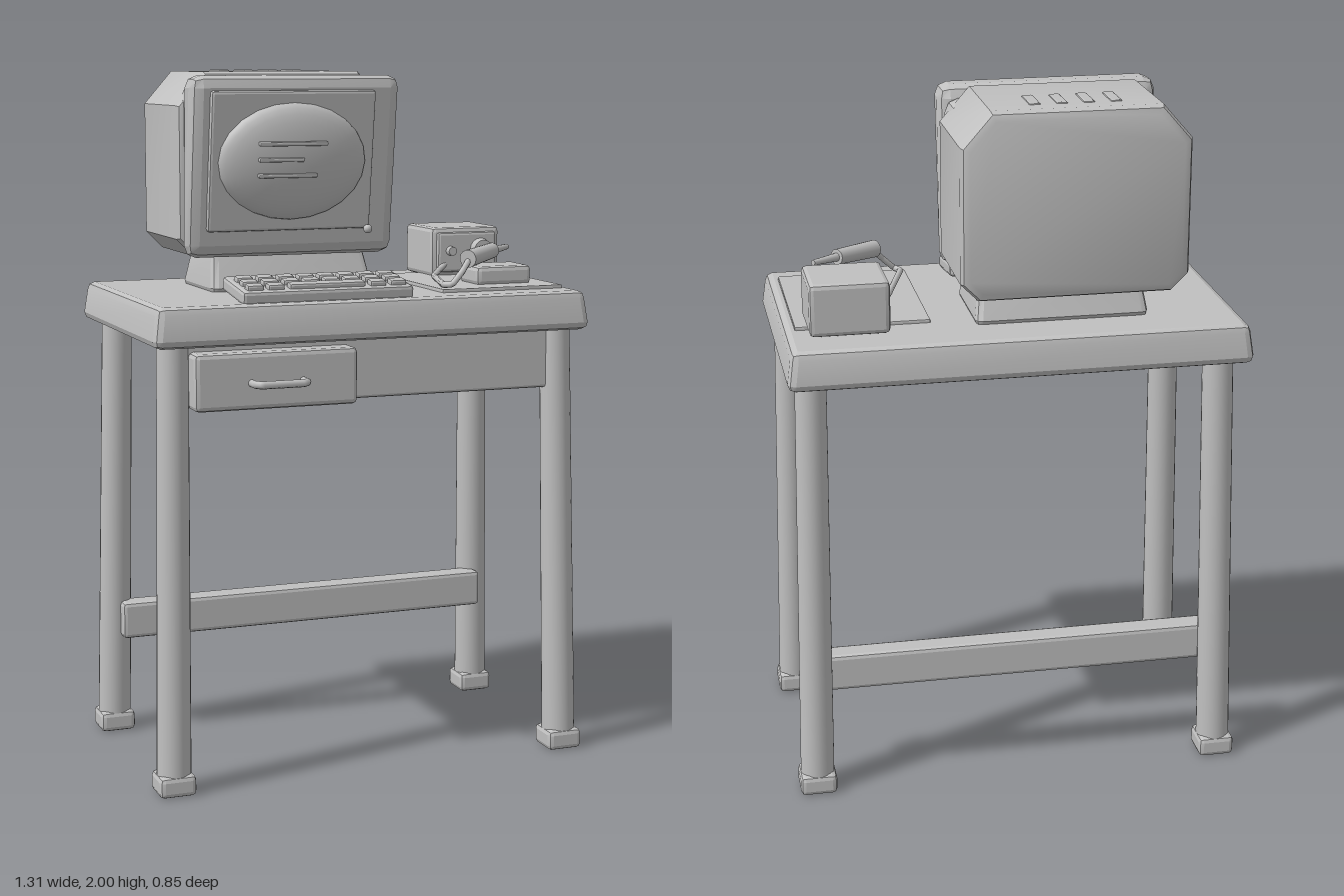
import * as THREE from 'three';
import { toCreasedNormals } from 'three/addons/utils/BufferGeometryUtils.js';
import { RoundedBoxGeometry } from 'three/addons/geometries/RoundedBoxGeometry.js';

const grey = new THREE.MeshStandardMaterial({ color: 0xc0c0c0 });
grey.name = 'plain grey';

function add(parent, name, geometry) {
  const mesh = new THREE.Mesh(geometry, grey);
  mesh.name = name;
  parent.add(mesh);
  return mesh;
}

// Chamfered box given by its limits; an optional rule moves its vertices.
function block(parent, name, [x0, x1], [y0, y1], [z0, z1], r = 0.01, rule) {
  const geo = new RoundedBoxGeometry(x1 - x0, y1 - y0, z1 - z0, 1, r);
  if (rule) {
    const p = geo.attributes.position;
    const v = new THREE.Vector3();
    for (let i = 0; i < p.count; i++) {
      rule(v.fromBufferAttribute(p, i));
      p.setXYZ(i, v.x, v.y, v.z);
    }
  }
  const mesh = add(parent, name, toCreasedNormals(geo, 0.35));
  mesh.position.set((x0 + x1) / 2, (y0 + y1) / 2, (z0 + z1) / 2);
  return mesh;
}

// Tapered round bar between two points.
function bar(parent, name, a, b, ra, rb, sides = 16) {
  const from = new THREE.Vector3(...a);
  const dir = new THREE.Vector3(...b).sub(from);
  const mesh = add(parent, name, new THREE.CylinderGeometry(rb, ra, dir.length(), sides));
  mesh.position.copy(from).addScaledVector(dir, 0.5);
  mesh.quaternion.setFromUnitVectors(new THREE.Vector3(0, 1, 0), dir.normalize());
  return mesh;
}

// Tube through straight runs of points.
function tube(parent, name, points, r, steps) {
  const path = new THREE.CurvePath();
  const pts = points.map((p) => new THREE.Vector3(...p));
  for (let i = 1; i < pts.length; i++) path.add(new THREE.LineCurve3(pts[i - 1], pts[i]));
  return add(parent, name, new THREE.TubeGeometry(path, steps, r, 8));
}

function buildDesk(desk) {
  block(desk, 'tabletop', [-0.655, 0.652], [1.262, 1.375], [-0.425, 0.367], 0.022, (v) => {
    if (v.y > 0) { v.x *= 0.985; v.z *= 0.98; }
  });
  // Splayed legs with square feet
  for (const sx of [-1, 1]) for (const sz of [-1, 1]) {
    const x = 0.6 * sx, z = -0.015 + 0.322 * sz;
    bar(desk, 'leg', [x, 0.04, z], [0.58 * sx, 1.28, -0.015 + 0.292 * sz], 0.049, 0.044, 24);
    block(desk, 'foot', [x - 0.053, x + 0.053], [0, 0.06], [z - 0.053, z + 0.053], 0.014);
  }
  block(desk, 'frontApron', [-0.59, 0.59], [1.09, 1.28], [0.25, 0.3], 0.008);
  block(desk, 'backRail', [-0.59, 0.59], [0.3, 0.41], [-0.32, -0.245], 0.012);
  block(desk, 'drawer', [-0.542, -0.067], [1.085, 1.245], [0.28, 0.362], 0.014);
  tube(desk, 'drawerHandle', [[-0.38, 1.16, 0.35], [-0.38, 1.16, 0.395], [-0.365, 1.16, 0.41],
    [-0.245, 1.16, 0.41], [-0.23, 1.16, 0.395], [-0.23, 1.16, 0.35]], 0.011, 40);
}

function buildMonitor(monitor) {
  const cx = -0.15;
  // Casing: outline with cut upper corners, bevelled front and back
  const b = 0.025, w = 0.32 - b, y0 = 1.475 + b, y1 = 2 - b;
  const outline = new THREE.Shape([
    [-w + 0.035, y0], [w - 0.035, y0], [w, y0 + 0.035], [w, y1 - 0.08],
    [w - 0.07, y1], [-w + 0.07, y1], [-w, y1 - 0.08], [-w, y0 + 0.035],
  ].map(([x, y]) => new THREE.Vector2(x, y)));
  const casing = new THREE.ExtrudeGeometry(outline, {
    depth: 0.365 - 2 * b, bevelThickness: b, bevelSize: b, bevelSegments: 2,
  });
  add(monitor, 'casing', toCreasedNormals(casing, 0.4)).position.set(cx, 0, -0.385 + b);
  block(monitor, 'neck', [-0.45, 0.15], [1.51, 1.96], [-0.1, 0.03], 0.04);

  // Bezel leaning forward at the top
  block(monitor, 'bezel', [-0.465, 0.165], [1.475, 1.99], [-0.01, 0.08], 0.035, (v) => {
    v.z += v.y * (v.z > 0 ? 0.13 : 0.05);
  });
  const face = new THREE.Group();
  face.name = 'screenFace';
  face.position.set(cx, 1.75, 0.085);
  face.rotation.x = 0.135;
  monitor.add(face);
  block(face, 'screenFrame', [-0.262, 0.23], [-0.2, 0.2], [-0.01, 0.014], 0.008);

  // Bulging screen and its bars
  const dome = new THREE.SphereGeometry(1, 24, 8, 0, Math.PI * 2, 0, Math.PI / 2);
  dome.rotateX(Math.PI / 2);
  dome.scale(0.222, 0.168, 0.058);
  add(face, 'screen', dome).position.set(-0.017, 0, 0.012);
  for (const [x0, x1, y] of [[-0.135, 0.068, 0.06], [-0.135, 0, 0.015], [-0.135, 0.04, -0.03]]) {
    block(face, 'screenBar', [x0, x1], [y - 0.006, y + 0.006], [0.055, 0.075], 0.004);
  }
  add(face, 'knob', new THREE.SphereGeometry(0.013, 12, 8)).position.set(0.222, -0.2, 0.02);

  for (let i = 0; i < 4; i++) {
    const x = -0.27 + i * 0.075;
    block(monitor, 'topVent', [x - 0.016, x + 0.016], [1.985, 2.004], [-0.31, -0.2], 0.005);
  }
  // Stand narrowing upward
  block(monitor, 'stand', [-0.385, 0.11], [1.365, 1.49], [-0.27, 0.025], 0.02, (v) => {
    if (v.y > 0) { v.x *= 0.95; v.z *= 0.75; }
  });
}

function buildKeyboard(keyboard) {
  keyboard.position.set(-0.138, 1.4, 0.23);
  keyboard.rotation.x = 0.14;
  block(keyboard, 'keyboardBase', [-0.253, 0.253], [-0.02, 0.02], [-0.098, 0.098], 0.01);
  for (let row = 0; row < 3; row++) {
    const z = -0.03 + row * 0.047;
    for (let col = 0; col < 8; col++) {
      if (row === 2 && col > 1 && col < 6) continue;
      const x = (col - 3.5) * 0.0605;
      block(keyboard, 'key', [x - 0.024, x + 0.024], [0.01, 0.034], [z - 0.017, z + 0.017], 0.006);
    }
  }
  block(keyboard, 'spaceBar', [-0.112, 0.112], [0.01, 0.034], [0.047, 0.081], 0.006);
}

function buildSolderingKit(kit) {
  block(kit, 'workMat', [0.23, 0.61], [1.37, 1.385], [-0.22, 0.265], 0.004);
  block(kit, 'powerUnit', [0.354, 0.578], [1.38, 1.53], [-0.313, -0.105], 0.014);
  block(kit, 'powerUnitPanel', [0.37, 0.562], [1.395, 1.515], [-0.12, -0.092], 0.008);
  bar(kit, 'smallKnob', [0.41, 1.46, -0.1], [0.41, 1.46, -0.072], 0.015, 0.013);
  bar(kit, 'largeKnob', [0.51, 1.462, -0.1], [0.51, 1.462, -0.068], 0.036, 0.03);
  // Sponge block with the iron resting on it
  block(kit, 'spongeTray', [0.375, 0.55], [1.38, 1.437], [0.053, 0.183], 0.014);
  bar(kit, 'ironHandle', [0.325, 1.466, 0.225], [0.45, 1.478, 0.12], 0.026, 0.023);
  bar(kit, 'ironTip', [0.44, 1.477, 0.128], [0.525, 1.482, 0.062], 0.013, 0.008, 12);
  tube(kit, 'ironCable', [[0.395, 1.42, -0.1], [0.37, 1.405, -0.085], [0.318, 1.395, -0.005],
    [0.248, 1.394, 0.228], [0.265, 1.396, 0.25], [0.3, 1.43, 0.24], [0.335, 1.467, 0.217]], 0.009, 60);
}

export function createModel() {
  const model = new THREE.Group();
  model.name = 'computerDesk';
  const builders = { desk: buildDesk, monitor: buildMonitor, keyboard: buildKeyboard, solderingKit: buildSolderingKit };
  for (const [name, build] of Object.entries(builders)) {
    const group = new THREE.Group();
    group.name = name;
    build(group);
    model.add(group);
  }
  return model;
}
